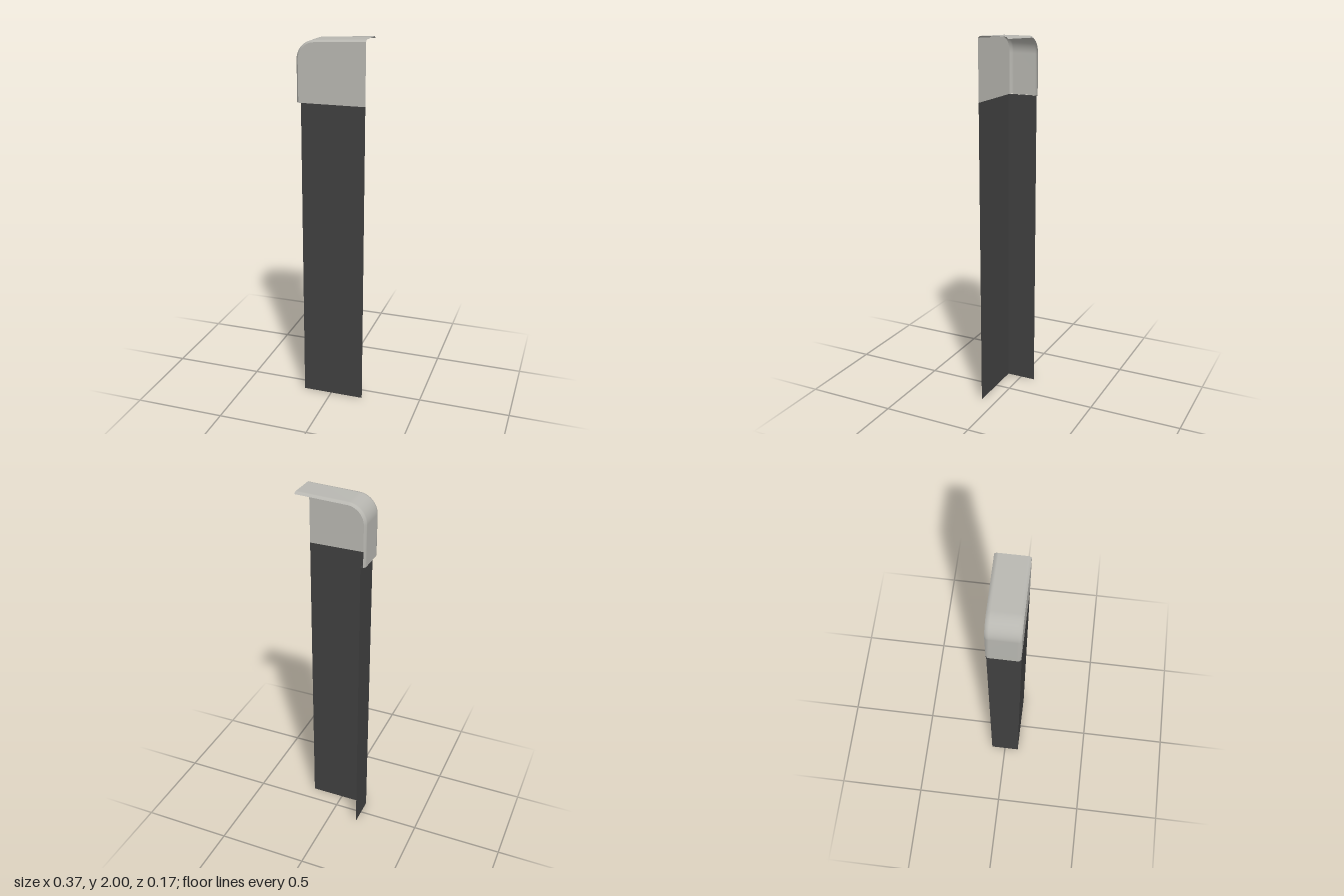
import * as THREE from 'three';

const RIGHT = 0.183, LEFT = -0.184, BODY_LEFT = -0.16;
const DEPTH = 0.083, SEAM = 1.67, BEVEL = 0.01, RADIUS = 0.1;

// Cap outline from the lower left, round the corner and along the sloping top, inset by d
function capOutline(d) {
  const cx = LEFT + RADIUS, cy = 1.988 - RADIUS, r = RADIUS - d;
  const points = [new THREE.Vector2(LEFT + d, SEAM)];
  const steps = 14, end = Math.PI / 2 + 0.045;
  for (let i = 0; i <= steps; i++) {
    const a = Math.PI + (end - Math.PI) * (i / steps);
    points.push(new THREE.Vector2(cx + r * Math.cos(a), cy + r * Math.sin(a)));
  }
  points.push(new THREE.Vector2(RIGHT, 2 - d));
  return points;
}

// Sheet lofted through outlines at several depths
function loft(rows) {
  const positions = [], index = [], n = rows[0].outline.length;
  rows.forEach(({ outline, z }) => outline.forEach(p => positions.push(p.x, p.y, z)));
  for (let j = 0; j < rows.length - 1; j++) {
    for (let i = 0; i < n - 1; i++) {
      const a = j * n + i, b = a + 1, c = a + n, d = c + 1;
      index.push(a, b, c, b, d, c);
    }
  }
  const geometry = new THREE.BufferGeometry();
  geometry.setAttribute('position', new THREE.Float32BufferAttribute(positions, 3));
  geometry.setIndex(index);
  geometry.computeVertexNormals();
  return geometry;
}

export function createModel() {
  const group = new THREE.Group();
  const charcoal = new THREE.MeshStandardMaterial({ color: 0x404040, side: THREE.DoubleSide });
  charcoal.name = 'charcoal';
  const warmGrey = new THREE.MeshStandardMaterial({ color: 0xb8b7b1, side: THREE.DoubleSide });
  warmGrey.name = 'warm grey';

  const add = (name, geometry, material) => {
    const mesh = new THREE.Mesh(geometry, material);
    mesh.name = name;
    group.add(mesh);
    return mesh;
  };

  // Lower panel: front and side sheets, open at the back and at the other end
  const width = RIGHT - BODY_LEFT;
  add('bodyFront', new THREE.PlaneGeometry(width, SEAM), charcoal)
    .position.set((RIGHT + BODY_LEFT) / 2, SEAM / 2, DEPTH);
  const side = add('bodySide', new THREE.PlaneGeometry(DEPTH * 2, SEAM), charcoal);
  side.position.set(BODY_LEFT, SEAM / 2, 0);
  side.rotation.y = -Math.PI / 2;

  // Narrow underside where the cap overhangs the body
  const ledge = add('capLedge', new THREE.PlaneGeometry(BODY_LEFT - LEFT - BEVEL / 2, DEPTH * 2), charcoal);
  ledge.position.set((BODY_LEFT + LEFT + BEVEL / 2) / 2, SEAM, 0);
  ledge.rotation.x = Math.PI / 2;

  // Cap front, closed down to the seam
  const inner = capOutline(BEVEL);
  const face = new THREE.Shape([...inner, new THREE.Vector2(RIGHT, SEAM)]);
  add('capFront', new THREE.ShapeGeometry(face), warmGrey).position.z = DEPTH;

  // Cap side and roof in one curved sheet with bevelled edges
  const outer = capOutline(0);
  add('capShell', loft([
    { outline: inner, z: DEPTH },
    { outline: outer, z: DEPTH - BEVEL },
    { outline: outer, z: DEPTH - 2 * BEVEL },
    { outline: outer, z: -DEPTH + 2 * BEVEL },
    { outline: outer, z: -DEPTH + BEVEL },
    { outline: inner, z: -DEPTH },
  ]), warmGrey);

  return group;
}
